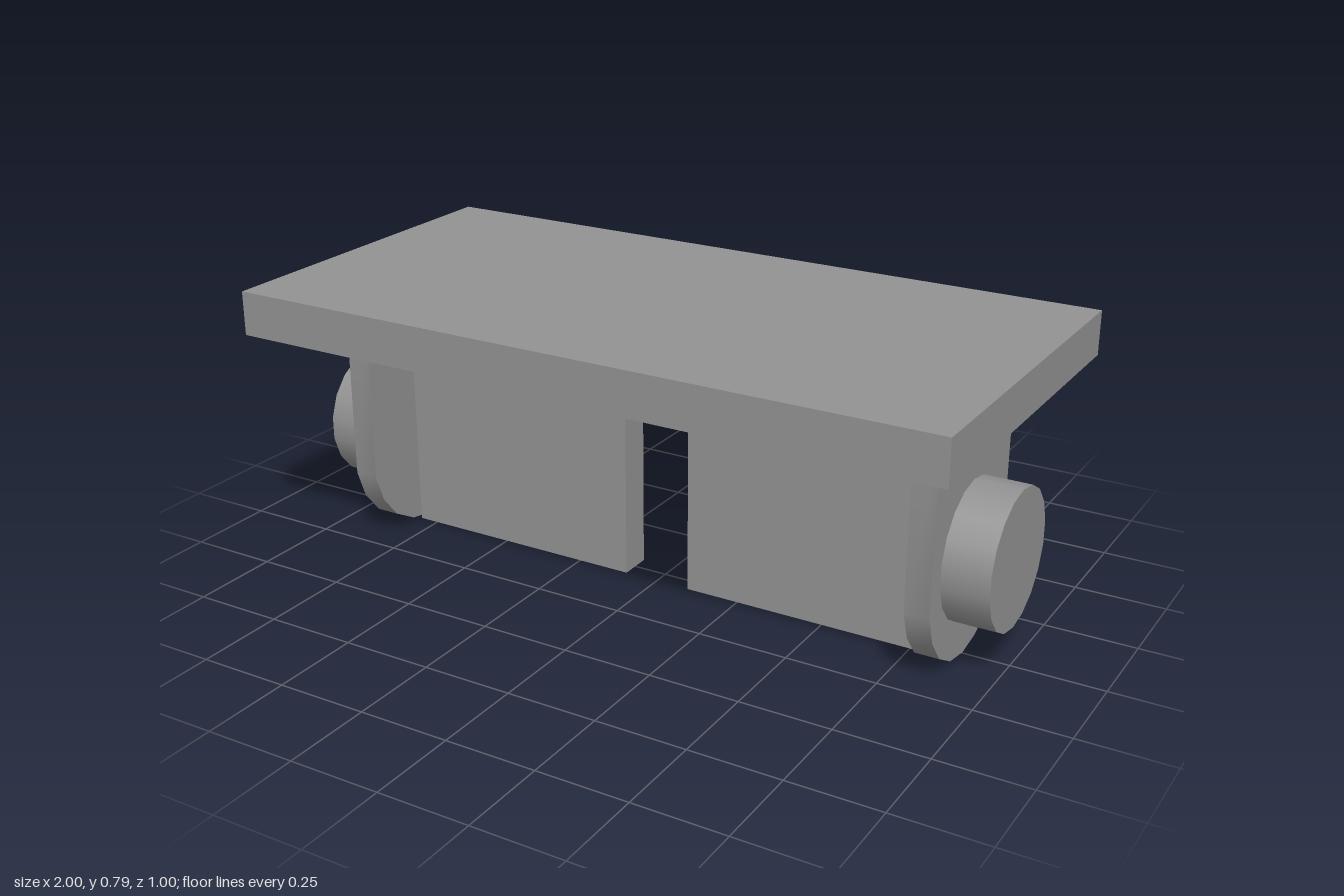
import * as THREE from 'three';
import { toCreasedNormals } from 'three/addons/utils/BufferGeometryUtils.js';

export function createModel() {
  const model = new THREE.Group();
  model.name = 'bracketMount';
  const darkGrey = new THREE.MeshStandardMaterial({ color: 0x929292 });

  const add = (name, geometry, x, y) => {
    const mesh = new THREE.Mesh(geometry, darkGrey);
    mesh.name = name;
    mesh.position.set(x, y, 0);
    model.add(mesh);
  };

  // Flat top slab
  const slabBottom = 0.67, slabTop = 0.791;
  add('topSlab', new THREE.BoxGeometry(2, slabTop - slabBottom, 1), 0, (slabBottom + slabTop) / 2);

  // Hanging end plate: straight sides with a faceted round foot
  const half = [[0.24, slabBottom], [0.24, 0.203], [0.211, 0.123], [0.158, 0.058], [0.083, 0.016]];
  const outline = [
    ...half,
    [0, 0.002],
    ...half.map(([z, y]) => [-z, y]).reverse(),
  ].map(([z, y]) => new THREE.Vector2(z, y));
  const inner = 0.807, outer = 0.874;
  const plate = toCreasedNormals(
    new THREE.ExtrudeGeometry(new THREE.Shape(outline), { depth: outer - inner, bevelEnabled: false })
      .rotateY(Math.PI / 2),
    0.6
  );

  // Thin web running inward from each end plate
  const webStart = 0.097;
  const web = new THREE.BoxGeometry(inner - webStart, slabBottom, 0.092);

  // Round stub on the outside, with a corner at the top
  const stub = new THREE.CylinderGeometry(0.187, 0.187, 1 - outer, 18, 1, false, Math.PI / 2)
    .rotateZ(Math.PI / 2);

  for (const [side, s] of [['left', 1], ['right', -1]]) {
    add(side + 'EndPlate', plate, s > 0 ? inner : -outer, 0);
    add(side + 'Web', web, s * (webStart + inner) / 2, slabBottom / 2);
    add(side + 'Stub', stub, s * (1 + outer) / 2, 0.294);
  }
  return model;
}
